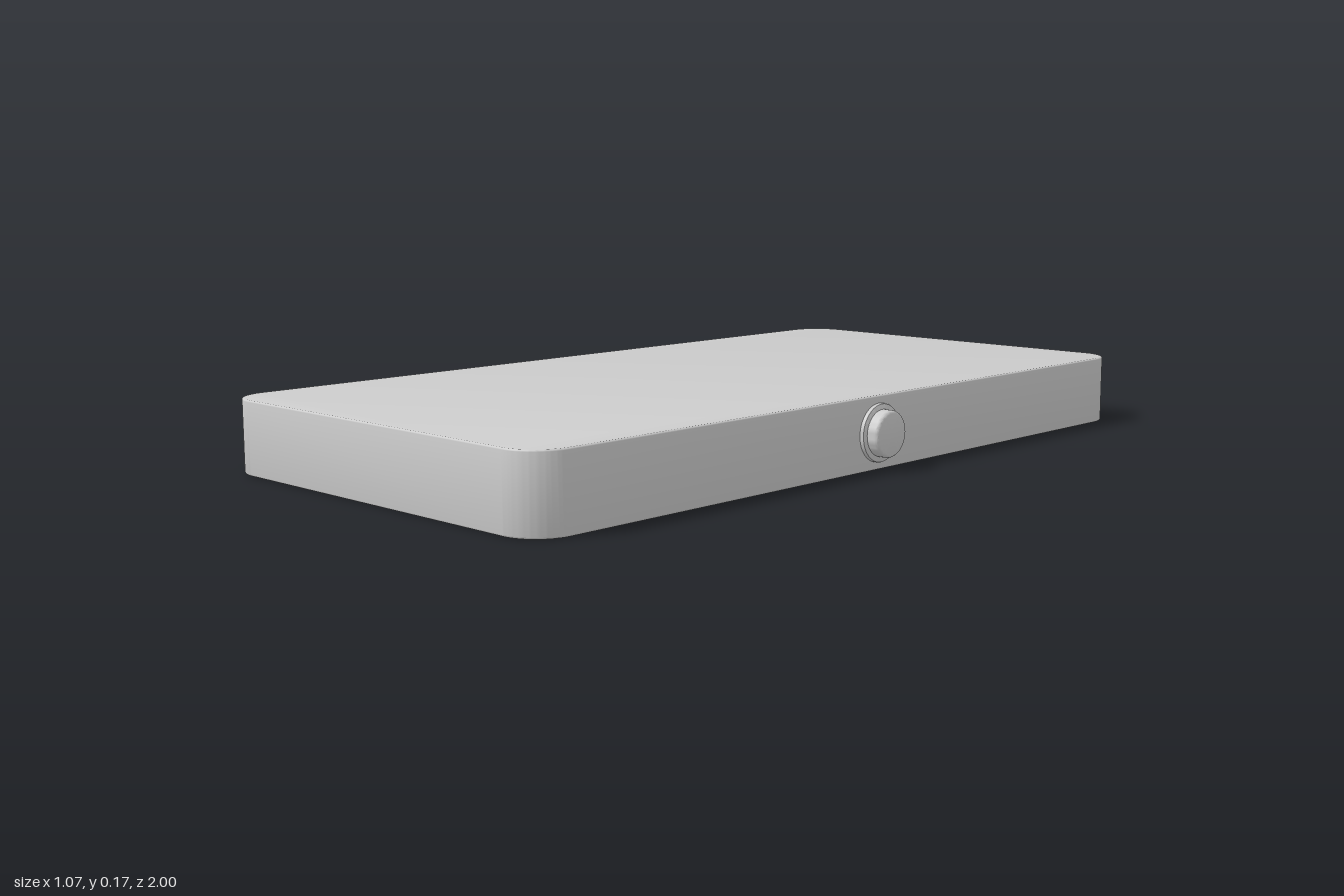
import * as THREE from 'three';
import { toCreasedNormals } from 'three/addons/utils/BufferGeometryUtils.js';

const WIDTH = 1.03, LENGTH = 2, HEIGHT = 0.167, CORNER = 0.09, BEVEL = 0.004;
const SIDE_X = 0.495; // face of the slab that carries the button

// Rectangle with rounded corners, centred on the origin
function roundedRect(w, h, r) {
  const s = new THREE.Shape();
  s.absarc(w / 2 - r, h / 2 - r, r, 0, Math.PI / 2);
  s.absarc(-w / 2 + r, h / 2 - r, r, Math.PI / 2, Math.PI);
  s.absarc(-w / 2 + r, -h / 2 + r, r, Math.PI, Math.PI * 1.5);
  s.absarc(w / 2 - r, -h / 2 + r, r, Math.PI * 1.5, Math.PI * 2);
  s.closePath();
  return s;
}

// Turned part whose axis runs along +x; profile points are [radius, distance out]
function turned(profile) {
  const points = profile.map(([r, d]) => new THREE.Vector2(r, d));
  const geometry = new THREE.LatheGeometry(points, 48);
  geometry.rotateZ(-Math.PI / 2);
  return toCreasedNormals(geometry, 0.5);
}

export function createModel() {
  const model = new THREE.Group();
  const material = new THREE.MeshStandardMaterial({ color: 0xcccccc });
  const add = (name, geometry, parent) => {
    const mesh = new THREE.Mesh(geometry, material);
    mesh.name = name;
    parent.add(mesh);
    return mesh;
  };

  // Flat slab with rounded corners and finely softened rims
  const slab = new THREE.ExtrudeGeometry(roundedRect(WIDTH, LENGTH, CORNER), {
    depth: HEIGHT - 2 * BEVEL, curveSegments: 16,
    bevelSize: BEVEL, bevelOffset: -BEVEL, bevelThickness: BEVEL, bevelSegments: 3,
  });
  slab.rotateX(-Math.PI / 2);
  add('body', toCreasedNormals(slab, 0.6), model)
    .position.set(SIDE_X - WIDTH / 2, BEVEL, 0);

  // Round push button in the middle of the left side
  const button = new THREE.Group();
  button.name = 'button';
  button.position.set(SIDE_X, HEIGHT / 2, 0);
  model.add(button);

  // Low collar around the button
  add('buttonCollar', turned([
    [0.066, -0.005], [0.066, 0.007], [0.065, 0.009], [0.063, 0.01], [0, 0.01],
  ]), button);

  // Cap with a rounded outer edge
  const cap = [[0.053, 0.005]];
  for (let i = 0; i <= 6; i++) {
    const a = (i / 6) * Math.PI / 2;
    cap.push([0.044 + 0.009 * Math.cos(a), 0.029 + 0.009 * Math.sin(a)]);
  }
  cap.push([0, 0.038]);
  add('buttonCap', turned(cap), button);

  return model;
}
